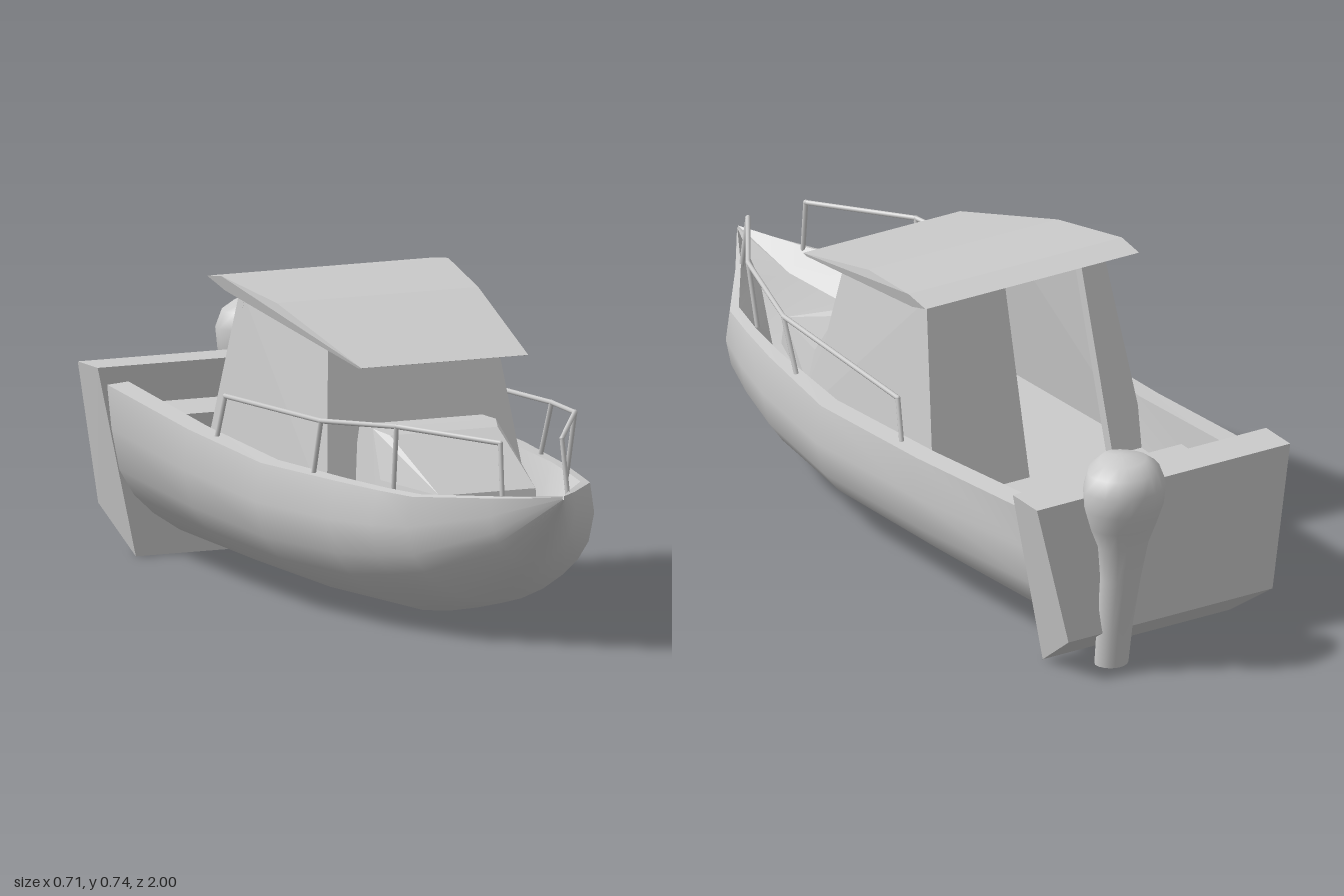
import * as THREE from 'three';
import { toCreasedNormals } from 'three/addons/utils/BufferGeometryUtils.js';
import { ConvexGeometry } from 'three/addons/geometries/ConvexGeometry.js';

const grey = new THREE.MeshStandardMaterial({ color: 0xcccccc });
const V = (x, y, z) => new THREE.Vector3(x, y, z);

// Skin over a row of closed rings, each counter-clockwise about the travel axis
function loft(rings, capped, crease) {
  const n = rings[0].length, index = [];
  for (let i = 0; i < rings.length - 1; i++) {
    for (let j = 0; j < n; j++) {
      const k = (j + 1) % n;
      const a = i * n + j, b = i * n + k, c = b + n, d = a + n;
      index.push(a, b, c, a, c, d);
    }
  }
  if (capped) {
    const last = (rings.length - 1) * n;
    for (let j = 1; j < n - 1; j++) {
      index.push(0, j + 1, j, last, last + j, last + j + 1);
    }
  }
  const geo = new THREE.BufferGeometry().setFromPoints(rings.flat());
  geo.setIndex(index);
  return toCreasedNormals(geo, crease);
}

export function createModel() {
  const boat = new THREE.Group();
  boat.name = 'motorBoat';

  function add(name, geometry, parent = boat) {
    const mesh = new THREE.Mesh(geometry, grey);
    mesh.name = name;
    parent.add(mesh);
    return mesh;
  }
  // Flat-sided solid, symmetric about x = 0, from points [z, y, half width]
  const symmetric = (name, points) => add(name, new ConvexGeometry(
    points.flatMap(([z, y, w]) => [V(w, y, z), V(-w, y, z)])));
  // Thin panel: corners plus a thickness offset
  const panel = (name, corners, offset, parent) => add(name, new ConvexGeometry(
    corners.flatMap((p) => [p, p.clone().add(offset)])), parent);

  // Hull with gunwale, inner sides and floor, as one skin.
  // Stations: z, keel y, sheer y, sheer half width, beam half width, rim, floor half width, floor y
  const stations = [
    [-0.76, 0.02, 0.41, 0.325, 0.315, 0.055, 0.265, 0.25],
    [-0.3, 0.015, 0.37, 0.335, 0.345, 0.05, 0.28, 0.25],
    [0.1, 0.013, 0.35, 0.343, 0.357, 0.045, 0.28, 0.25],
    [0.4, 0.02, 0.348, 0.295, 0.315, 0.03, 0.23, 0.25],
    [0.55, 0.05, 0.346, 0.262, 0.28, 0.025, 0.18, 0.25],
    [0.67, 0.08, 0.346, 0.232, 0.243, 0.025, 0.12, 0.26],
    [0.84, 0.2, 0.358, 0.108, 0.11, 0.015, 0.04, 0.31],
    [1, 0.37, 0.375, 0.002, 0.002, 0.0005, 0.0005, 0.373],
  ];
  const bilge = [[0.22, 0.02], [0.45, 0.09], [0.66, 0.2], [0.82, 0.32], [0.94, 0.48], [1, 0.73]];
  const hullRings = stations.map(([z, keel, sheer, w, beam, rim, floorW, floorY]) => {
    const half = bilge.map(([u, v]) => V(u * beam, keel + v * (sheer - keel), z));
    half.push(V(w, sheer, z), V(w - rim, sheer + 0.004, z), V(floorW, floorY, z));
    const mirrored = half.map((p) => V(-p.x, p.y, z)).reverse();
    return [V(0, keel, z), ...half, ...mirrored];
  });
  add('hull', loft(hullRings, false, 0.6));

  // Transom block
  symmetric('transom', [
    [-0.745, 0.45, 0.35], [-0.85, 0.45, 0.35], [-0.88, 0.107, 0.282], [-0.73, 0, 0.258],
  ]);

  // Low trunk on the foredeck
  symmetric('foredeckTrunk', [
    [0.25, 0.45, 0.16], [0.32, 0.45, 0.16], [0.37, 0.44, 0.14],
    [0.6, 0.33, 0.125], [0.62, 0.25, 0.122],
    [0.39, 0.34, 0.175], [0.4, 0.25, 0.19], [0.25, 0.25, 0.19],
  ]);

  // Wheelhouse: two sides, front and a rear wall with a doorway
  const cabin = new THREE.Group();
  cabin.name = 'cabin';
  boat.add(cabin);
  for (const s of [1, -1]) {
    panel(s > 0 ? 'leftCabinWall' : 'rightCabinWall', [
      V(s * 0.262, 0.25, 0.285), V(s * 0.215, 0.655, 0.195),
      V(s * 0.245, 0.715, -0.205), V(s * 0.295, 0.25, -0.315),
    ], V(-s * 0.015, 0, 0), cabin);
  }
  panel('cabinFront', [
    V(-0.26, 0.25, 0.285), V(0.26, 0.25, 0.285), V(0.214, 0.655, 0.195), V(-0.214, 0.655, 0.195),
  ], V(0, 0, -0.015), cabin);
  for (const [name, x0, x1, t0, t1] of [
    ['rearPanelWide', 0.03, 0.29, 0.03, 0.244], ['rearPanelNarrow', -0.29, -0.2, -0.244, -0.18],
  ]) {
    panel(name, [
      V(x0, 0.25, -0.315), V(x1, 0.25, -0.315), V(t1, 0.715, -0.205), V(t0, 0.715, -0.205),
    ], V(0, 0, 0.03), cabin);
  }

  // Wedge roof with a front visor
  symmetric('roof', [
    [0.375, 0.605, 0.217], [0.02, 0.71, 0.262], [-0.205, 0.743, 0.295], [-0.28, 0.733, 0.295],
    [-0.205, 0.708, 0.285], [0.36, 0.602, 0.217],
  ]);

  // Storage box in the cockpit
  add('storageBox', new THREE.BoxGeometry(0.24, 0.12, 0.21)).position.set(-0.12, 0.3, -0.655);

  // Bow rails with posts, mirrored
  const railTop = [[0.08, 0.485, 0.83], [0.232, 0.5, 0.59], [0.3, 0.48, 0.33], [0.302, 0.465, -0.17]];
  const postFoot = [[0.085, 0.355, 0.85], [0.225, 0.345, 0.56], [0.295, 0.345, 0.28], [0.31, 0.36, -0.2]];
  const rod = (name, a, b, parent) => add(name,
    new THREE.TubeGeometry(new THREE.LineCurve3(a, b), 1, 0.006, 8), parent);
  for (const s of [1, -1]) {
    const rail = new THREE.Group();
    rail.name = s > 0 ? 'leftRail' : 'rightRail';
    boat.add(rail);
    const tops = railTop.map(([x, y, z]) => V(s * x, y, z));
    tops.forEach((top, i) => {
      const [x, y, z] = postFoot[i];
      rod('railPost', V(s * x, y, z), top, rail);
      if (i) rod('railBar', tops[i - 1], top, rail);
      add('railJoint', new THREE.SphereGeometry(0.0065, 8, 6), rail).position.copy(top);
    });
  }

  // Outboard motor: y, centre z, half depth, half width
  const motor = [
    [0.015, -0.85, 0.042, 0.042], [0.12, -0.865, 0.043, 0.045], [0.25, -0.89, 0.046, 0.052],
    [0.34, -0.9, 0.055, 0.065], [0.39, -0.9, 0.072, 0.085], [0.44, -0.9, 0.092, 0.1],
    [0.49, -0.902, 0.098, 0.104], [0.53, -0.9, 0.085, 0.09], [0.553, -0.898, 0.055, 0.06],
    [0.56, -0.896, 0.012, 0.012],
  ];
  const motorRings = motor.map(([y, cz, rz, rx]) => Array.from({ length: 20 }, (_, i) => {
    const t = i / 20 * Math.PI * 2;
    const taper = 1 - 0.3 * Math.max(0, Math.cos(t));
    return V(0.147 + rx * taper * Math.sin(t), y, cz + rz * Math.cos(t));
  }));
  add('outboardMotor', loft(motorRings, true, 1));

  return boat;
}
